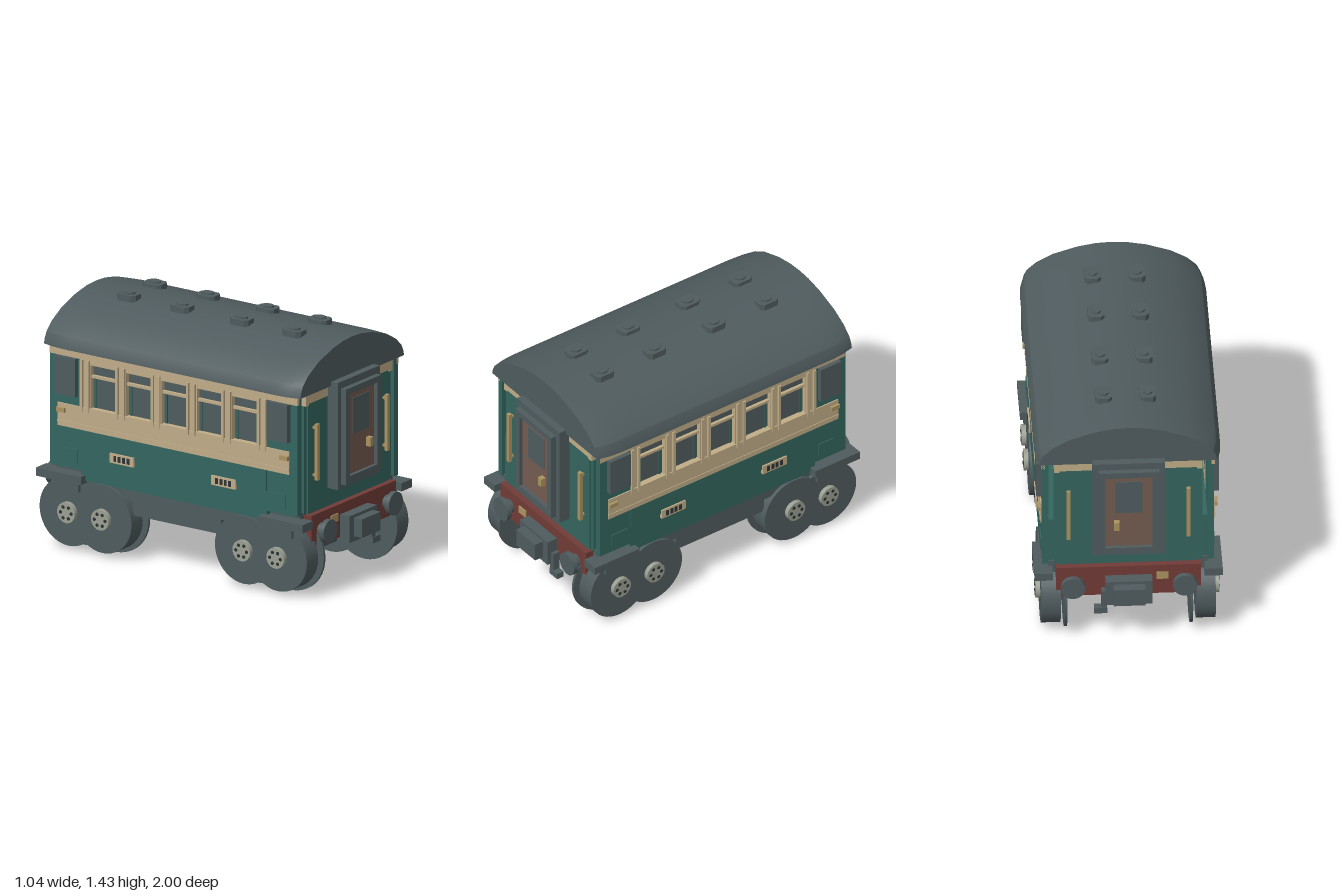
import * as THREE from 'three';
import { toCreasedNormals } from 'three/addons/utils/BufferGeometryUtils.js';

const mat = (name, color) => {
  const m = new THREE.MeshStandardMaterial({ color });
  m.name = name;
  return m;
};

export function createModel() {
  const root = new THREE.Group();
  root.name = 'railwayCarriage';
  const grey = mat('slate grey', 0x4f5b5e), teal = mat('teal green', 0x34655f), cream = mat('cream', 0xc0ad88);
  const red = mat('dark red', 0x713c37), brown = mat('door brown', 0x735c50), gold = mat('brass', 0xab9360);
  const silver = mat('hub silver', 0x9a9f92), dark = mat('dark slot', 0x2c3436);

  const add = (name, geo, material) => {
    const m = new THREE.Mesh(geo, material);
    m.name = name;
    root.add(m);
    return m;
  };
  // box from its limits on each axis; limits may come in either order
  const box = (name, material, x0, x1, y0, y1, z0, z1) => {
    const m = add(name, new THREE.BoxGeometry(Math.abs(x1 - x0), Math.abs(y1 - y0), Math.abs(z1 - z0)), material);
    m.position.set((x0 + x1) / 2, (y0 + y1) / 2, (z0 + z1) / 2);
    return m;
  };
  // cylinder lying along x or z
  const rod = (name, material, axis, r, a, b, u, y, seg = 32) => {
    const m = add(name, new THREE.CylinderGeometry(r, r, Math.abs(b - a), seg), material);
    if (axis === 'x') { m.rotation.z = Math.PI / 2; m.position.set((a + b) / 2, y, u); }
    else { m.rotation.x = Math.PI / 2; m.position.set(u, y, (a + b) / 2); }
    return m;
  };
  const rect = (Type, x0, x1, y0, y1) => new Type().setFromPoints([
    new THREE.Vector2(x0, y0), new THREE.Vector2(x1, y0), new THREE.Vector2(x1, y1), new THREE.Vector2(x0, y1)]);
  const extrude = (shape, depth, steps = 1) =>
    new THREE.ExtrudeGeometry(shape, { depth, steps, bevelEnabled: false, curveSegments: 8 });

  // arched roof, drawn in towards its ends
  const arch = [[0.515, 1.17], [0.508, 1.2], [0.49, 1.235], [0.435, 1.285], [0.34, 1.337], [0.2, 1.382], [0.09, 1.402]];
  const outline = [...arch, [0, 1.407], ...arch.slice().reverse().map(([x, y]) => [-x, y])];
  const roofGeo = extrude(new THREE.Shape(outline.map(([x, y]) => new THREE.Vector2(x, y))), 1.74, 24);
  roofGeo.translate(0, 0, -0.87);
  const rp = roofGeo.attributes.position;
  for (let i = 0; i < rp.count; i++) {
    const t = Math.max(0, (Math.abs(rp.getZ(i)) - 0.72) / 0.15);
    rp.setX(i, rp.getX(i) * (1 - 0.045 * t * t));
  }
  add('roof', toCreasedNormals(roofGeo, 0.35), grey);

  // roof ventilators: chamfered cap with a raised centre
  const octagon = (w, d, c) => new THREE.Shape([[w - c, -d], [w, c - d], [w, d - c], [w - c, d], [c - w, d], [-w, d - c], [-w, c - d], [c - w, -d]]
    .map(([x, y]) => new THREE.Vector2(x, y)));
  for (const x of [-0.122, 0.122]) for (const z of [-0.555, -0.195, 0.21, 0.565]) {
    for (const [w, d, y, h] of [[0.046, 0.062, 1.385, 0.04], [0.028, 0.035, 1.42, 0.015]]) {
      const v = add('roofVent', extrude(octagon(w, d, 0.02), h), grey);
      v.rotation.x = -Math.PI / 2;
      v.position.set(x, y, z);
    }
  }

  // underframe
  box('floor', grey, -0.44, 0.44, 0.42, 0.485, -0.83, 0.83);
  box('underframe', grey, -0.33, 0.33, 0.28, 0.43, -0.83, 0.83);
  box('middleUnderframe', grey, -0.45, 0.45, 0.27, 0.42, -0.3, 0.3);
  box('equipmentBox', grey, -0.22, 0.22, 0.19, 0.235, -0.26, 0.2);
  box('equipmentMount', grey, -0.2, 0.2, 0.23, 0.28, -0.26, 0.2);

  // both long sides
  const windows = [-0.48, -0.24, 0, 0.24, 0.48];
  for (const s of [1, -1]) {
    box('lowerSide', teal, s * 0.4, s * 0.475, 0.42, 0.715, -0.63, 0.63);
    box('lowerSideStrip', teal, s * 0.47, s * 0.481, 0.59, 0.71, -0.63, 0.63);
    box('innerLining', teal, s * 0.385, s * 0.44, 0.48, 0.76, -0.8, 0.8);
    box('sill', grey, s * 0.4, s * 0.462, 0.36, 0.42, -0.63, 0.63);

    // window wall with openings, drawn in z and y
    const wall = rect(THREE.Shape, -0.63, 0.63, 0.71, 1.17);
    for (const z of windows) wall.holes.push(rect(THREE.Path, z - 0.085, z + 0.085, 0.845, 1.095));
    const w = add('windowWall', extrude(wall, 0.035), cream);
    w.rotation.y = -Math.PI / 2;
    w.position.x = s > 0 ? 0.475 : -0.44;
    box('windowGlass', grey, s * 0.441, s * 0.447, 0.84, 1.1, -0.6, 0.6);
    for (const z of windows) {
      box('windowRail', cream, s * 0.446, s * 0.465, 1.02, 1.036, z - 0.085, z + 0.085);
      for (const e of [-1, 1]) box('windowEdge', teal, s * 0.446, s * 0.452, 0.845, 1.02, z + e * 0.062, z + e * 0.074);
    }
    for (const z of [-0.6, -0.36, -0.12, 0.12, 0.36, 0.6]) for (const e of [-1, 1])
      box('windowPost', cream, s * 0.47, s * 0.488, 0.82, 1.12, z + e * 0.022 - 0.008, z + e * 0.022 + 0.008);
    box('waistBand', cream, s * 0.46, s * 0.482, 0.712, 0.845, -0.785, 0.785);
    box('waistMoulding', cream, s * 0.48, s * 0.486, 0.735, 0.745, -0.785, 0.785);
    box('topBand', cream, s * 0.46, s * 0.479, 1.12, 1.17, -0.84, 0.84);

    for (const e of [-1, 1]) {
      // corner doors
      box('cornerDoor', teal, s * 0.44, s * 0.475, 0.475, 1.17, e * 0.63, e * 0.84);
      box('cornerDoorPanel', teal, s * 0.47, s * 0.481, 0.51, 0.59, e * 0.65, e * 0.76);
      box('cornerDoorWindow', grey, s * 0.47, s * 0.505, 0.9, 1.12, e * 0.65, e * 0.79);
      box('cornerDoorHandle', gold, s * 0.48, s * 0.498, 0.795, 0.82, e * 0.73, e * 0.785);
      // nameless vent grille
      box('sideGrille', cream, s * 0.47, s * 0.49, 0.562, 0.617, e * 0.263, e * 0.427);
      for (let k = 0; k < 4; k++) {
        const z = e * (0.3 + k * 0.03);
        box('grilleSlot', dark, s * 0.488, s * 0.493, 0.573, 0.606, z - 0.009, z + 0.009);
      }
      // steps above the wheels
      box('stepBoard', grey, s * 0.42, s * 0.52, 0.405, 0.452, e * 0.6, e * 0.905);
      box('stepBracket', grey, s * 0.42, s * 0.5, 0.35, 0.41, e * 0.63, e * 0.815);

      // wheels with flange and drilled hub
      for (const wz of [0.48, 0.71]) {
        const z = e * wz, y = 0.222;
        rod('wheel', grey, 'x', 0.197, s * 0.375, s * 0.482, z, y, 40);
        rod('wheelFlange', grey, 'x', 0.222, s * 0.34, s * 0.355, z, y, 40);
        rod('wheelHub', silver, 'x', 0.06, s * 0.47, s * 0.508, z, y, 24);
        for (let k = 0; k < 6; k++) {
          const a = k * Math.PI / 3;
          rod('hubHole', dark, 'x', 0.01, s * 0.503, s * 0.511, z + 0.036 * Math.cos(a), y + 0.036 * Math.sin(a), 10);
        }
      }
    }
  }
  for (const z of [-0.71, -0.48, 0.48, 0.71]) rod('axle', grey, 'x', 0.045, -0.38, 0.38, z, 0.222, 20);

  // both ends, mirrored
  for (const e of [1, -1]) {
    const endBox = (name, m, x0, x1, y0, y1, z0, z1) => box(name, m, x0, x1, y0, y1, e * z0, e * z1);
    endBox('endWall', teal, -0.385, 0.385, 0.47, 1.17, 0.8, 0.845);
    endBox('endTopBand', cream, -0.385, 0.385, 1.11, 1.17, 0.84, 0.85);
    for (const s of [-1, 1]) {
      endBox('endCornerLower', teal, s * 0.38, s * 0.44, 0.4, 0.76, 0.78, 0.82);
      endBox('endCornerPost', teal, s * 0.38, s * 0.41, 0.47, 1.1, 0.79, 0.835);
      endBox('endCornerBand', cream, s * 0.38, s * 0.41, 1.1, 1.17, 0.79, 0.85);
      endBox('handrail', gold, s * 0.32, s * 0.343, 0.66, 0.985, 0.86, 0.88);
      for (const y of [0.68, 0.955]) endBox('handrailFoot', gold, s * 0.323, s * 0.34, y, y + 0.015, 0.84, 0.865);
      rod('bufferStem', grey, 'z', 0.04, e * 0.87, e * 0.925, s * 0.31, 0.37, 24);
      rod('bufferHead', grey, 'z', 0.067, e * 0.915, e * 0.945, s * 0.31, 0.37, 32);
    }

    // gangway door with stepped frame
    const ring = (name, ox, oy0, oy1, ix, iy0, iy1, z0, z1) => {
      const shape = rect(THREE.Shape, -ox, ox, oy0, oy1);
      shape.holes.push(rect(THREE.Path, -ix, ix, iy0, iy1));
      add(name, extrude(shape, z1 - z0), grey).position.z = e > 0 ? z0 : -z1;
    };
    ring('outerDoorFrame', 0.2, 0.575, 1.195, 0.15, 0.61, 1.14, 0.84, 0.915);
    ring('innerDoorFrame', 0.168, 0.6, 1.155, 0.13, 0.645, 1.12, 0.86, 0.948);
    endBox('endDoor', brown, -0.14, 0.14, 0.635, 1.13, 0.84, 0.925);
    endBox('endDoorWindow', grey, -0.075, 0.075, 0.87, 1.08, 0.922, 0.93);
    endBox('endDoorHandle', gold, 0.053, 0.084, 0.768, 0.82, 0.92, 0.955);

    // buffer beam, plate, coupler and hose
    endBox('bufferBeam', red, -0.4, 0.4, 0.28, 0.47, 0.82, 0.88);
    endBox('beamPlate', gold, -0.22, -0.155, 0.38, 0.425, 0.878, 0.887);
    endBox('couplerMount', grey, -0.13, 0.13, 0.255, 0.41, 0.86, 0.945);
    endBox('couplerHead', grey, -0.088, 0.088, 0.285, 0.392, 0.94, 1);
    endBox('brakeHose', grey, 0.12, 0.152, 0.185, 0.33, 0.88, 0.92);
    endBox('brakeHoseEnd', grey, 0.12, 0.192, 0.185, 0.22, 0.88, 0.925);
  }
  return root;
}
